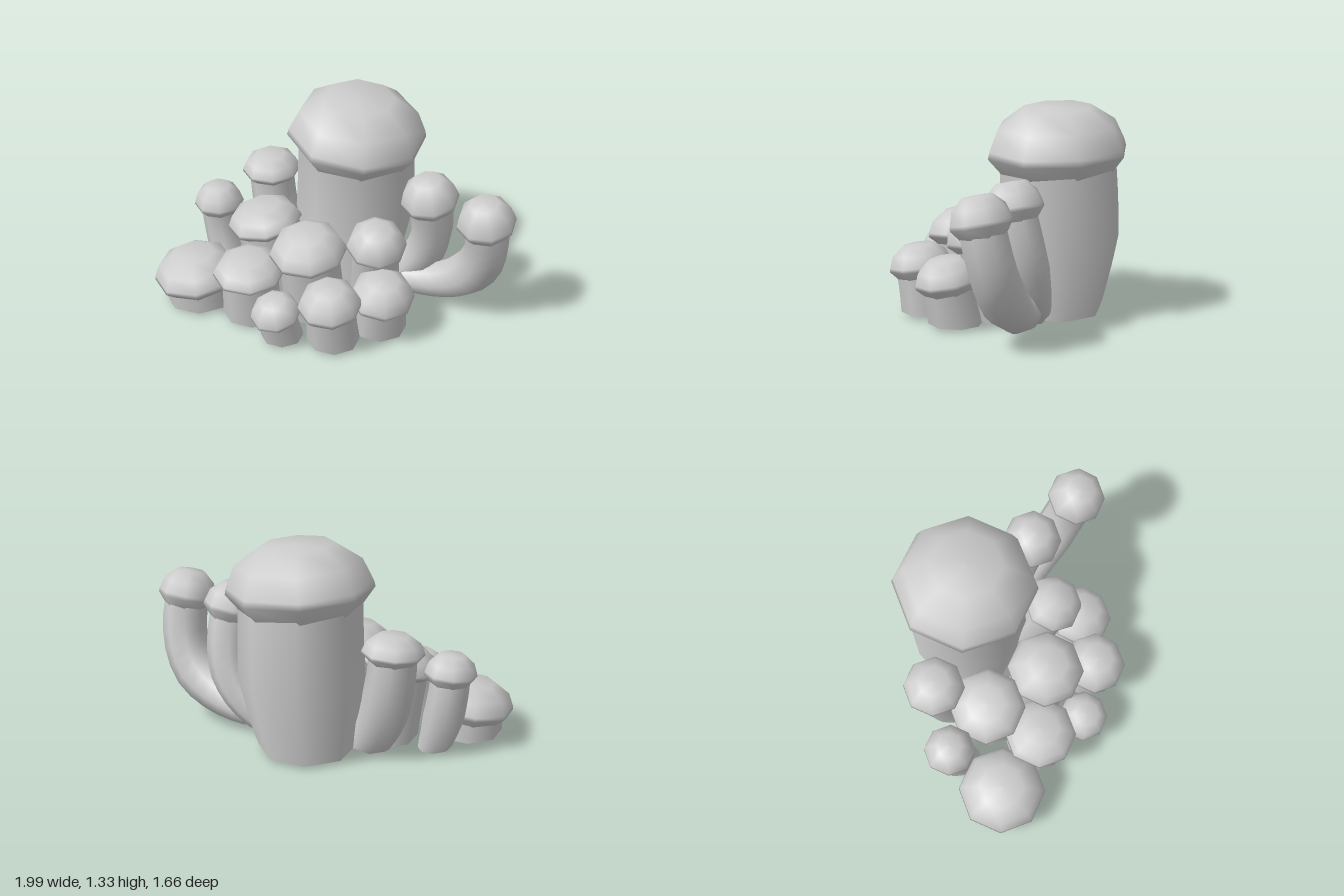
import * as THREE from 'three';

const SIDES = 8;
const GROUND = 0.02;
const material = new THREE.MeshStandardMaterial({ color: 0xcccccc, side: THREE.DoubleSide });
const vec = (p) => new THREE.Vector3(...p);

// Domed eight-sided cap: undercut neck, rim, shoulder and flattened crown
function makeCap(radius, height, neck) {
  const profile = [
    [neck * 0.97, -height * 0.38], [radius, 0], [radius * 0.98, height * 0.14],
    [radius * 0.85, height * 0.6], [radius * 0.5, height * 0.97], [0, height],
  ].map(([r, y]) => new THREE.Vector2(r, y));
  return new THREE.LatheGeometry(profile, SIDES);
}

// Tapered stem swept along a bend; radii run from foot over middle to neck
function makeStem(foot, elbow, top, radii) {
  const rings = 10;
  const curve = new THREE.QuadraticBezierCurve3(foot, elbow, top);
  const geometry = new THREE.TubeGeometry(curve, rings, 1, SIDES);
  const pos = geometry.attributes.position;
  const v = new THREE.Vector3();
  for (let i = 0; i < pos.count; i++) {
    const t = Math.floor(i / (SIDES + 1)) / rings;
    const r = t < 0.5
      ? THREE.MathUtils.lerp(radii[0], radii[1], t * 2)
      : THREE.MathUtils.lerp(radii[1], radii[2], t * 2 - 1);
    const centre = curve.getPointAt(t);
    v.fromBufferAttribute(pos, i).sub(centre).multiplyScalar(r).add(centre);
    // A foot standing on the ground is cut level
    if (t === 0 && centre.y <= GROUND) v.y = centre.y;
    pos.setXYZ(i, v.x, Math.max(v.y, Math.min(centre.y, GROUND)), v.z);
  }
  return geometry;
}

// rim: centre of the cap's rim; r, h: cap radius and dome height; axis: cap direction
function makeMushroom(name, rim, r, h, axis, foot, elbow, radii) {
  const cap = new THREE.Mesh(makeCap(r, h, radii[2]), material);
  cap.name = 'cap';
  cap.position.copy(rim);
  cap.quaternion.setFromUnitVectors(new THREE.Vector3(0, 1, 0), axis);
  cap.rotateY(0.05);

  const top = rim.clone().addScaledVector(axis, -h * 0.2);
  const stem = new THREE.Mesh(makeStem(foot, elbow, top, radii), material);
  stem.name = 'stem';

  const group = new THREE.Group();
  group.name = name;
  group.add(cap, stem);
  return group;
}

// Tall mushrooms, each with a stem bent round an elbow and a tilted cap
const tall = [
  { name: 'mainMushroom', rim: [-0.18, 1.03, -0.39], r: 0.445, h: 0.29, lean: [0.09, 0],
    foot: [-0.2, 0.02, -0.36], elbow: [-0.2, 0.5, -0.42], radii: [0.3, 0.385, 0.37] },
  { name: 'outerBentMushroom', rim: [0.81, 0.76, -0.485], r: 0.185, h: 0.17, lean: [0, 0.22],
    foot: [0.24, 0.12, -0.43], elbow: [0.81, 0.19, -0.62], radii: [0.1, 0.145, 0.14] },
  { name: 'innerBentMushroom', rim: [0.4, 0.77, -0.44], r: 0.185, h: 0.17, lean: [-0.03, 0.22],
    foot: [0.12, 0.1, -0.41], elbow: [0.4, 0.3, -0.58], radii: [0.1, 0.135, 0.135] },
  { name: 'backRightMushroom', rim: [-0.68, 0.7, -0.11], r: 0.19, h: 0.12, lean: [0, 0.06],
    foot: [-0.44, 0.02, -0.06], elbow: [-0.68, 0.3, -0.13], radii: [0.13, 0.15, 0.145] },
  { name: 'outerRightMushroom', rim: [-0.84, 0.52, 0.22], r: 0.16, h: 0.135, lean: [0, 0.06],
    foot: [-0.72, 0, 0.22], elbow: [-0.84, 0.25, 0.19], radii: [0.1, 0.125, 0.12] },
];

// Short straight mushrooms: rim centre, cap radius, dome height, foot x and z
const short = {
  frontCornerMushroom: [-0.71, 0.18, 0.555, 0.275, 0.17, -0.7, 0.54],
  middleRightMushroom: [-0.48, 0.5, 0.15, 0.24, 0.13, -0.42, 0.1],
  middleMushroom: [-0.04, 0.49, 0.2, 0.245, 0.155, -0.05, 0.13],
  frontMushroom: [-0.31, 0.34, 0.46, 0.23, 0.12, -0.32, 0.43],
  smallFrontMushroom: [0, 0.21, 0.53, 0.16, 0.12, 0, 0.48],
  frontLeftMushroom: [0.27, 0.3, 0.33, 0.2, 0.15, 0.26, 0.29],
  outerLeftMushroom: [0.42, 0.28, 0.02, 0.205, 0.15, 0.38, -0.01],
  middleLeftMushroom: [0.27, 0.54, -0.09, 0.19, 0.15, 0.16, -0.2],
};

export function createModel() {
  const model = new THREE.Group();
  model.name = 'mushroomCluster';

  for (const { name, rim, r, h, lean, foot, elbow, radii } of tall) {
    const axis = vec([lean[0], 1, lean[1]]).normalize();
    model.add(makeMushroom(name, vec(rim), r, h, axis, vec(foot), vec(elbow), radii));
  }

  // The cap of a short mushroom follows the slant of its stem
  for (const [name, [x, y, z, r, h, footX, footZ]] of Object.entries(short)) {
    const rim = vec([x, y, z]);
    const foot = vec([footX, GROUND, footZ]);
    const axis = rim.clone().sub(foot).normalize();
    const middle = rim.clone().lerp(foot, 0.5);
    model.add(makeMushroom(name, rim, r, h, axis, foot, middle, [r * 0.83, r * 0.79, r * 0.78]));
  }
  return model;
}
